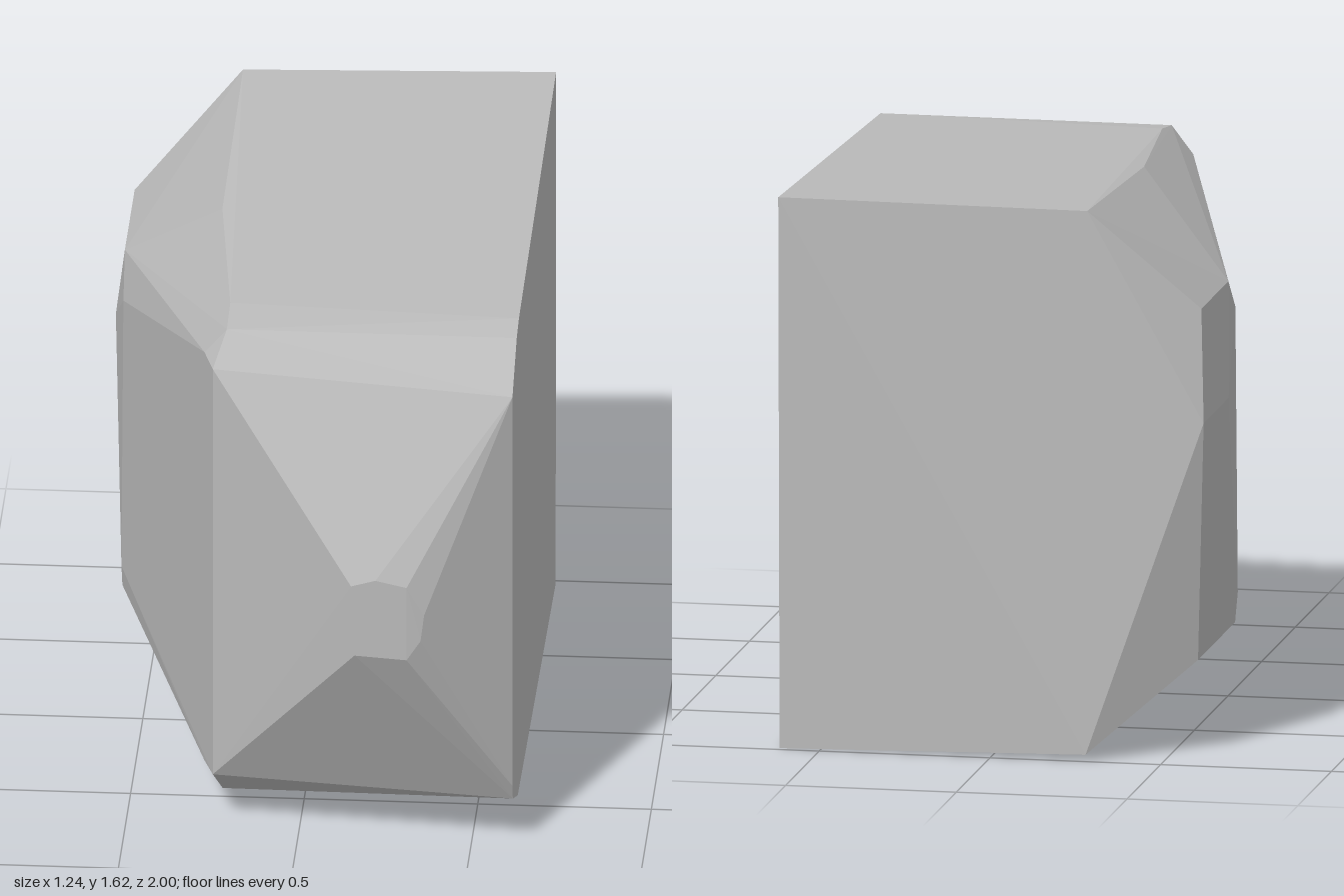
import * as THREE from 'three';
import { ConvexGeometry } from 'three/addons/geometries/ConvexGeometry.js';

export function createModel() {
  const group = new THREE.Group();
  group.name = 'facetedBlock';
  const grey = new THREE.MeshStandardMaterial({ color: 0xbababa });
  grey.name = 'plain grey';

  // Corner points grouped by region; the block is their convex hull
  const corners = {
    flatSide: [
      [0.62, 1.62, -1], [0.62, 0, -0.98], [0.62, 1.56, 0.52], [0.62, 1.54, 0.61],
      [0.62, 1.435, 0.785], [0.62, 0.2, 0.79], [0.62, 0.15, 0.77], [0.62, 0.065, 0.57],
    ],
    back: [[-0.28, 1.61, -0.975], [-0.28, 0.02, -1], [-0.62, 1, -0.97]],
    roundedSide: [
      [-0.58, 1.3, -0.8], [-0.58, 1.3, -0.4], [-0.62, 1, -0.6],
      [-0.575, 1.2, -0.27], [-0.58, 0.36, -0.26], [-0.58, 0.28, -0.3], [-0.58, 0.28, -0.85],
    ],
    frontEdge: [
      [-0.28, 1.57, -0.13], [-0.215, 1.558, 0.47], [-0.215, 1.54, 0.61],
      [-0.28, 1.46, 0.6], [-0.25, 1.45, 0.69], [-0.25, 0.16, 0.69],
      [-0.28, 0.16, 0.6], [-0.23, 0.06, 0.57],
    ],
    nose: [
      [0.17, 0.92, 1], [0.24, 0.94, 1], [0.33, 0.92, 1], [0.38, 0.83, 0.99],
      [0.37, 0.75, 0.995], [0.33, 0.69, 1], [0.18, 0.7, 1],
    ],
  };
  const points = Object.values(corners).flat().map((p) => new THREE.Vector3(...p));

  const block = new THREE.Mesh(new ConvexGeometry(points), grey);
  block.name = 'block';
  group.add(block);
  return group;
}
